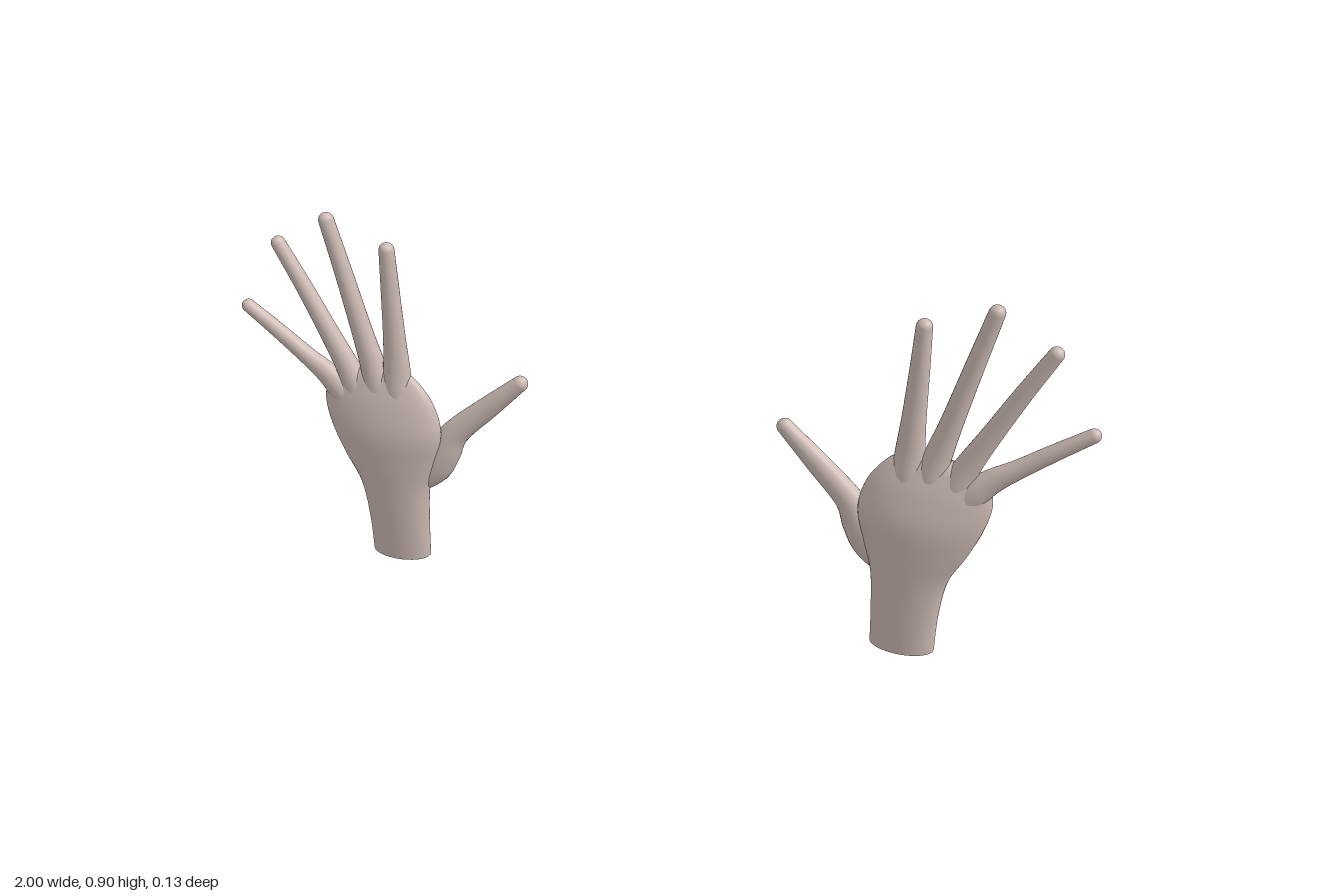
import * as THREE from 'three';

const V = (x, y, z = 0) => new THREE.Vector3(x, y, z);
const smooth = (points) => new THREE.CatmullRomCurve3(points, false, 'catmullrom', 0.5);

// Skin over elliptical rings { c, u, v }; side = -1 mirrors it across x = 0.
function loft(rings, side, segments = 32) {
  const pos = [], idx = [], row = segments;
  for (const { c, u, v } of rings) {
    for (let j = 0; j < segments; j++) {
      const a = (j / segments) * Math.PI * 2;
      const p = c.clone().addScaledVector(u, Math.cos(a)).addScaledVector(v, Math.sin(a));
      pos.push(p.x * side, p.y, p.z);
    }
  }
  const tri = (a, b, c) => (side > 0 ? idx.push(a, b, c) : idx.push(a, c, b));
  for (let i = 0; i < rings.length - 1; i++) {
    for (let j = 0; j < segments; j++) {
      const k = (j + 1) % segments;
      const a = i * row + j, b = i * row + k;
      tri(a, a + row, b);
      tri(b, a + row, b + row);
    }
  }
  const g = new THREE.BufferGeometry();
  g.setAttribute('position', new THREE.Float32BufferAttribute(pos, 3));
  g.setIndex(idx);
  g.computeVertexNormals();
  return g;
}

// Wrist to knuckles: thumb-side edge, little-finger-side edge, z centre, z half thickness
const PALM = [
  [0.555, 0.0, 0.705, 0.0, 0.010, 0.040],
  [0.551, 0.1, 0.707, 0.1, 0.011, 0.044],
  [0.543, 0.2, 0.720, 0.2, 0.011, 0.049],
  [0.522, 0.28, 0.757, 0.28, 0.011, 0.053],
  [0.503, 0.36, 0.784, 0.35, 0.011, 0.053],
  [0.518, 0.435, 0.797, 0.415, 0.008, 0.042],
  [0.555, 0.49, 0.788, 0.465, 0.004, 0.029],
  [0.588, 0.515, 0.768, 0.487, 0.002, 0.020],
  [0.605, 0.525, 0.750, 0.499, 0.001, 0.010],
  [0.620, 0.528, 0.735, 0.504, 0.001, 0.0005],
];

function palmRings() {
  const left = smooth(PALM.map((p) => V(p[0], p[1])));
  const right = smooth(PALM.map((p) => V(p[2], p[3])));
  const depth = smooth(PALM.map((p) => V(p[4], p[5])));
  const rings = [];
  for (let i = 0; i <= 45; i++) {
    const t = i / 45, l = left.getPoint(t), r = right.getPoint(t), d = depth.getPoint(t);
    const c = l.clone().add(r).multiplyScalar(0.5);
    c.z = d.x;
    rings.push({ c, u: r.sub(l).multiplyScalar(0.5), v: V(0, 0, Math.max(d.y, 0.0005)) });
  }
  return rings;
}

// Digits: stations of x, y, z, half width, half depth; the last is the tip centre
const DIGITS = {
  thumb: [
    [0.585, 0.195, 0.004, 0.020, 0.020],
    [0.540, 0.250, -0.008, 0.043, 0.031],
    [0.510, 0.300, -0.014, 0.043, 0.032],
    [0.475, 0.358, -0.021, 0.033, 0.027],
    [0.395, 0.432, -0.034, 0.027, 0.022],
    [0.317, 0.503, -0.046, 0.019, 0.018],
  ],
  indexFinger: [
    [0.606, 0.390, 0.010, 0.034, 0.028],
    [0.607, 0.450, 0.008, 0.037, 0.030],
    [0.607, 0.520, 0.003, 0.033, 0.026],
    [0.608, 0.600, 0.000, 0.027, 0.023],
    [0.610, 0.720, -0.003, 0.022, 0.020],
    [0.611, 0.824, -0.004, 0.018, 0.018],
  ],
  middleFinger: [
    [0.645, 0.390, 0.010, 0.032, 0.028],
    [0.655, 0.460, 0.008, 0.034, 0.030],
    [0.670, 0.530, 0.004, 0.030, 0.026],
    [0.690, 0.610, 0.001, 0.025, 0.023],
    [0.724, 0.750, -0.003, 0.021, 0.020],
    [0.756, 0.878, -0.005, 0.018, 0.018],
  ],
  ringFinger: [
    [0.685, 0.380, 0.010, 0.032, 0.028],
    [0.708, 0.445, 0.009, 0.034, 0.029],
    [0.735, 0.510, 0.005, 0.029, 0.025],
    [0.772, 0.585, 0.002, 0.024, 0.022],
    [0.830, 0.700, -0.002, 0.020, 0.019],
    [0.885, 0.803, -0.004, 0.017, 0.017],
  ],
  littleFinger: [
    [0.710, 0.390, 0.012, 0.030, 0.026],
    [0.748, 0.440, 0.011, 0.034, 0.027],
    [0.790, 0.482, 0.007, 0.028, 0.023],
    [0.840, 0.519, 0.004, 0.022, 0.020],
    [0.910, 0.572, 0.000, 0.019, 0.018],
    [0.984, 0.626, -0.003, 0.016, 0.016],
  ],
};

function digitRings(stations) {
  const path = smooth(stations.map((s) => V(s[0], s[1], s[2])));
  const radii = smooth(stations.map((s) => V(s[3], s[4])));
  const rings = [];
  const add = (c, t, rx, rz) => {
    const u = V(t.y, -t.x).normalize();
    rings.push({ c, u: u.clone().multiplyScalar(rx), v: u.cross(t).multiplyScalar(rz) });
  };
  for (let i = 0; i <= 30; i++) {
    const r = radii.getPoint(i / 30);
    add(path.getPoint(i / 30), path.getTangent(i / 30), r.x, r.y);
  }
  // Rounded fingertip
  const tip = path.getPoint(1), dir = path.getTangent(1), r = radii.getPoint(1);
  for (let i = 1; i <= 8; i++) {
    const a = (i / 8) * Math.PI * 0.497;
    add(tip.clone().addScaledVector(dir, r.x * Math.sin(a)), dir, r.x * Math.cos(a), r.y * Math.cos(a));
  }
  return rings;
}

function createHand(side, skin) {
  const hand = new THREE.Group();
  hand.name = side > 0 ? 'leftHand' : 'rightHand';
  const add = (name, geometry) => {
    const mesh = new THREE.Mesh(geometry, skin);
    mesh.name = name;
    hand.add(mesh);
    return mesh;
  };
  add('palmAndWrist', loft(palmRings(), side));
  for (const [name, stations] of Object.entries(DIGITS)) {
    add(name, loft(digitRings(stations), side, 24));
  }
  // Flat cut closing the wrist
  const cap = new THREE.CircleGeometry(1, 32).rotateX(Math.PI / 2).scale(0.075, 1, 0.04);
  add('wristEnd', cap).position.set(0.63 * side, 0, 0.01);
  return hand;
}

export function createModel() {
  const model = new THREE.Group();
  model.name = 'pairOfHands';
  const skin = new THREE.MeshStandardMaterial({ color: 0xcdbbb3 });
  skin.name = 'skin';
  model.add(createHand(1, skin), createHand(-1, skin));
  return model;
}
